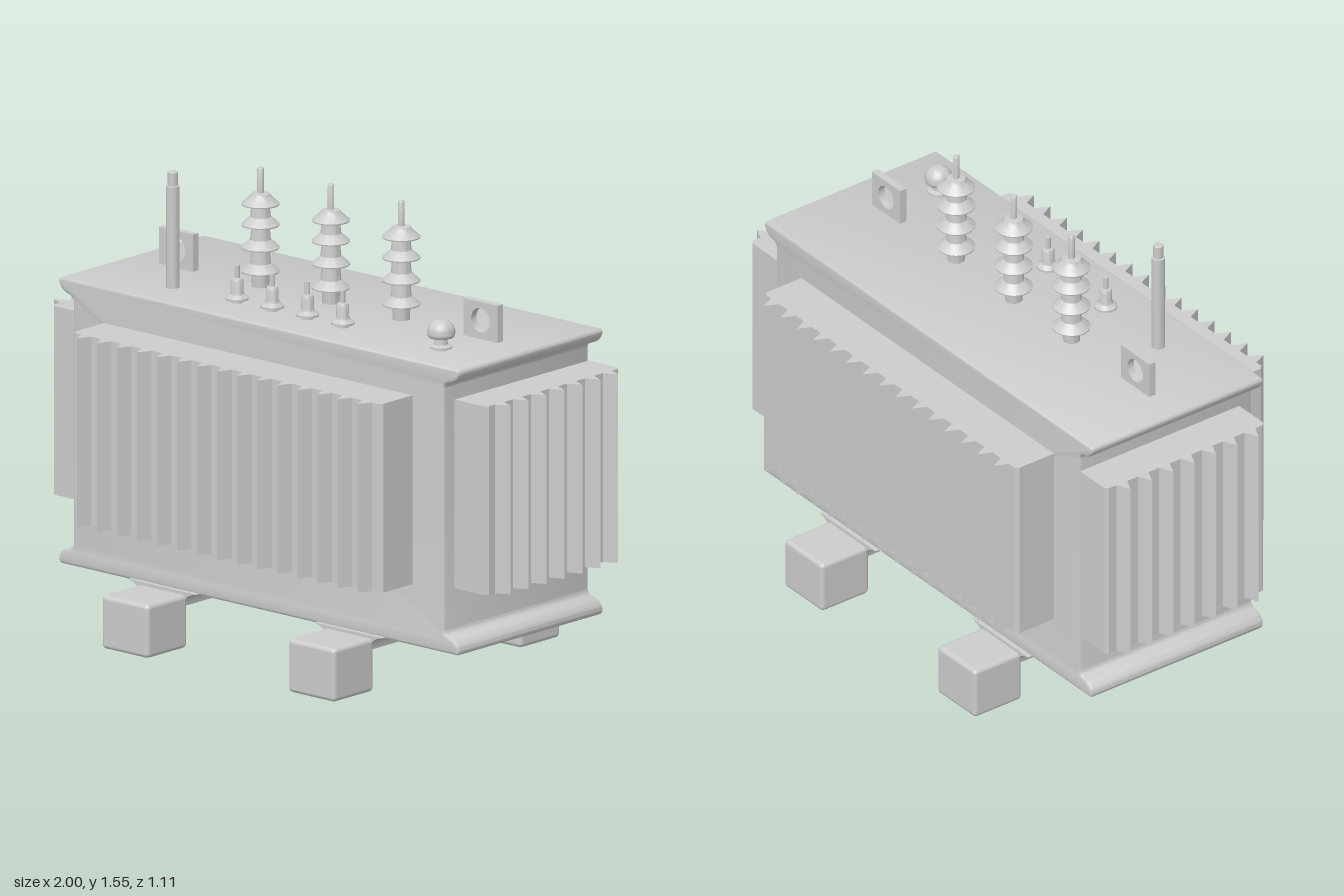
import * as THREE from 'three';
import { toCreasedNormals } from 'three/addons/utils/BufferGeometryUtils.js';
import { RoundedBoxGeometry } from 'three/addons/geometries/RoundedBoxGeometry.js';

const grey = new THREE.MeshStandardMaterial({ color: 0xcccccc });

function add(parent, name, geometry, x = 0, y = 0, z = 0) {
  const mesh = new THREE.Mesh(geometry, grey);
  mesh.name = name;
  mesh.position.set(x, y, z);
  parent.add(mesh);
  return mesh;
}

// Extrude a shape along z, centred, with optional softened end edges
function extrude(shape, depth, bevel = 0) {
  const g = new THREE.ExtrudeGeometry(shape, {
    depth: depth - 2 * bevel, curveSegments: 12,
    bevelEnabled: bevel > 0, bevelSize: bevel, bevelThickness: bevel, bevelOffset: -bevel, bevelSegments: 3,
  });
  g.translate(0, 0, -(depth - 2 * bevel) / 2);
  return toCreasedNormals(g, 0.6);
}

function lathe(points, segments = 28) {
  const g = new THREE.LatheGeometry(points.map(([r, y]) => new THREE.Vector2(r, y)), segments);
  return toCreasedNormals(g, 0.6);
}

// Tank section: straight walls flaring into a rolled flange at top and bottom
function tankShape() {
  const s = new THREE.Shape();
  s.moveTo(-0.865, 0.185);
  s.lineTo(0.865, 0.185);
  s.quadraticCurveTo(0.88, 0.19, 0.875, 0.21);
  s.quadraticCurveTo(0.865, 0.235, 0.835, 0.24);
  s.quadraticCurveTo(0.812, 0.242, 0.812, 0.265);
  s.lineTo(0.812, 1.075);
  s.quadraticCurveTo(0.812, 1.095, 0.835, 1.098);
  s.quadraticCurveTo(0.865, 1.105, 0.875, 1.13);
  s.quadraticCurveTo(0.88, 1.148, 0.865, 1.15);
  s.lineTo(-0.865, 1.15);
  s.quadraticCurveTo(-0.88, 1.148, -0.875, 1.13);
  s.quadraticCurveTo(-0.865, 1.105, -0.835, 1.098);
  s.quadraticCurveTo(-0.812, 1.095, -0.812, 1.075);
  s.lineTo(-0.812, 0.265);
  s.quadraticCurveTo(-0.812, 0.242, -0.835, 0.24);
  s.quadraticCurveTo(-0.865, 0.235, -0.875, 0.21);
  s.quadraticCurveTo(-0.88, 0.19, -0.865, 0.185);
  return s;
}

// Cooling radiator: block with a row of pointed fins on its outer face
function radiatorGeometry(half, inner, outer, count) {
  const pitch = 0.0877, w = 0.022, tip = outer + 0.047, c = 0.012;
  const s = new THREE.Shape();
  s.moveTo(half, inner);
  s.lineTo(half, outer - c);
  s.lineTo(half - c, outer);
  for (let i = 0; i < count; i++) {
    const u = ((count - 1) / 2 - i) * pitch;
    s.lineTo(u + w, outer);
    s.lineTo(u, tip);
    s.lineTo(u - w, outer);
  }
  s.lineTo(-half + c, outer);
  s.lineTo(-half, outer - c);
  s.lineTo(-half, inner);
  const g = new THREE.ExtrudeGeometry(s, { depth: 0.637, bevelEnabled: false });
  g.rotateX(-Math.PI / 2);
  return g;
}

// Support beam section, flaring where it meets the tank
function beamShape() {
  const s = new THREE.Shape();
  s.moveTo(-0.1, 0.145);
  s.lineTo(0.1, 0.145);
  s.lineTo(0.103, 0.168);
  s.quadraticCurveTo(0.112, 0.184, 0.15, 0.192);
  s.lineTo(-0.15, 0.192);
  s.quadraticCurveTo(-0.112, 0.184, -0.103, 0.168);
  return s;
}

export function createModel() {
  const model = new THREE.Group();
  model.name = 'transformer';

  add(model, 'tank', extrude(tankShape(), 0.708, 0.01));

  // Radiators on all four walls
  const longSide = radiatorGeometry(0.675, 0.33, 0.508, 15);
  const shortSide = radiatorGeometry(0.327, 0.78, 0.952, 7);
  add(model, 'frontRadiator', longSide, 0, 0.393, 0).rotation.y = Math.PI;
  add(model, 'backRadiator', longSide, 0, 0.393, 0);
  add(model, 'leftRadiator', shortSide, 0, 0.393, -0.025).rotation.y = -Math.PI / 2;
  add(model, 'rightRadiator', shortSide, 0, 0.393, -0.025).rotation.y = Math.PI / 2;

  // Feet joined by cross beams
  const beam = extrude(beamShape(), 0.74);
  const foot = new RoundedBoxGeometry(0.205, 0.18, 0.195, 3, 0.015);
  for (const x of [-0.408, 0.408]) {
    add(model, 'crossBeam', beam, x);
    for (const z of [-0.455, 0.455]) add(model, 'foot', foot, x, 0.092, z);
  }

  // High-voltage bushings: ribbed insulators with a terminal pin
  const hv = [[0, 0], [0.028, 0]];
  for (const y of [0.055, 0.135, 0.212, 0.282]) {
    hv.push([0.03, y - 0.008], [0.062, y - 0.004], [0.063, y], [0.05, y + 0.012], [0.034, y + 0.026]);
  }
  hv.push([0.031, 0.315], [0.011, 0.318], [0.011, 0.398], [0.008, 0.403], [0, 0.403]);
  const hvGeometry = lathe(hv);
  for (const x of [-0.308, 0, 0.308]) add(model, 'highVoltageBushing', hvGeometry, x, 1.148, 0);

  // Low-voltage bushings
  const lvGeometry = lathe([
    [0, 0], [0.02, 0], [0.02, 0.01], [0.038, 0.012], [0.038, 0.019], [0.024, 0.03],
    [0.021, 0.04], [0.021, 0.075], [0.017, 0.083], [0.009, 0.085], [0.009, 0.127], [0, 0.127],
  ], 24);
  for (let i = 0; i < 4; i++) add(model, 'lowVoltageBushing', lvGeometry, -0.231 + i * 0.154, 1.148, 0.2);

  // Filler pipe
  add(model, 'fillerPipe', lathe([
    [0, 0], [0.022, 0], [0.022, 0.344], [0.017, 0.346], [0.017, 0.39], [0.014, 0.393], [0, 0.393],
  ], 20), -0.512, 1.148, 0.2);

  // Domed breather valve
  const valve = [[0, 0], [0.02, 0], [0.02, 0.008], [0.037, 0.01], [0.037, 0.016], [0.022, 0.022],
    [0.02, 0.044], [0.04, 0.046], [0.045, 0.052]];
  for (let i = 0; i <= 8; i++) {
    const a = (i / 8) * Math.PI / 2;
    valve.push([0.047 * Math.cos(a), 0.061 + 0.046 * Math.sin(a)]);
  }
  add(model, 'breatherValve', lathe(valve), 0.662, 1.148, 0.2);

  // Lifting lugs with a round eye
  const lug = new THREE.Shape();
  lug.moveTo(-0.075, 1.14);
  lug.lineTo(0.075, 1.14);
  lug.lineTo(0.075, 1.275);
  lug.lineTo(-0.075, 1.275);
  const eye = new THREE.Path();
  eye.absarc(0, 1.213, 0.041, 0, Math.PI * 2, true);
  lug.holes.push(eye);
  const lugGeometry = extrude(lug, 0.026);
  for (const x of [-0.666, 0.666]) add(model, 'liftingLug', lugGeometry, x);

  return model;
}
